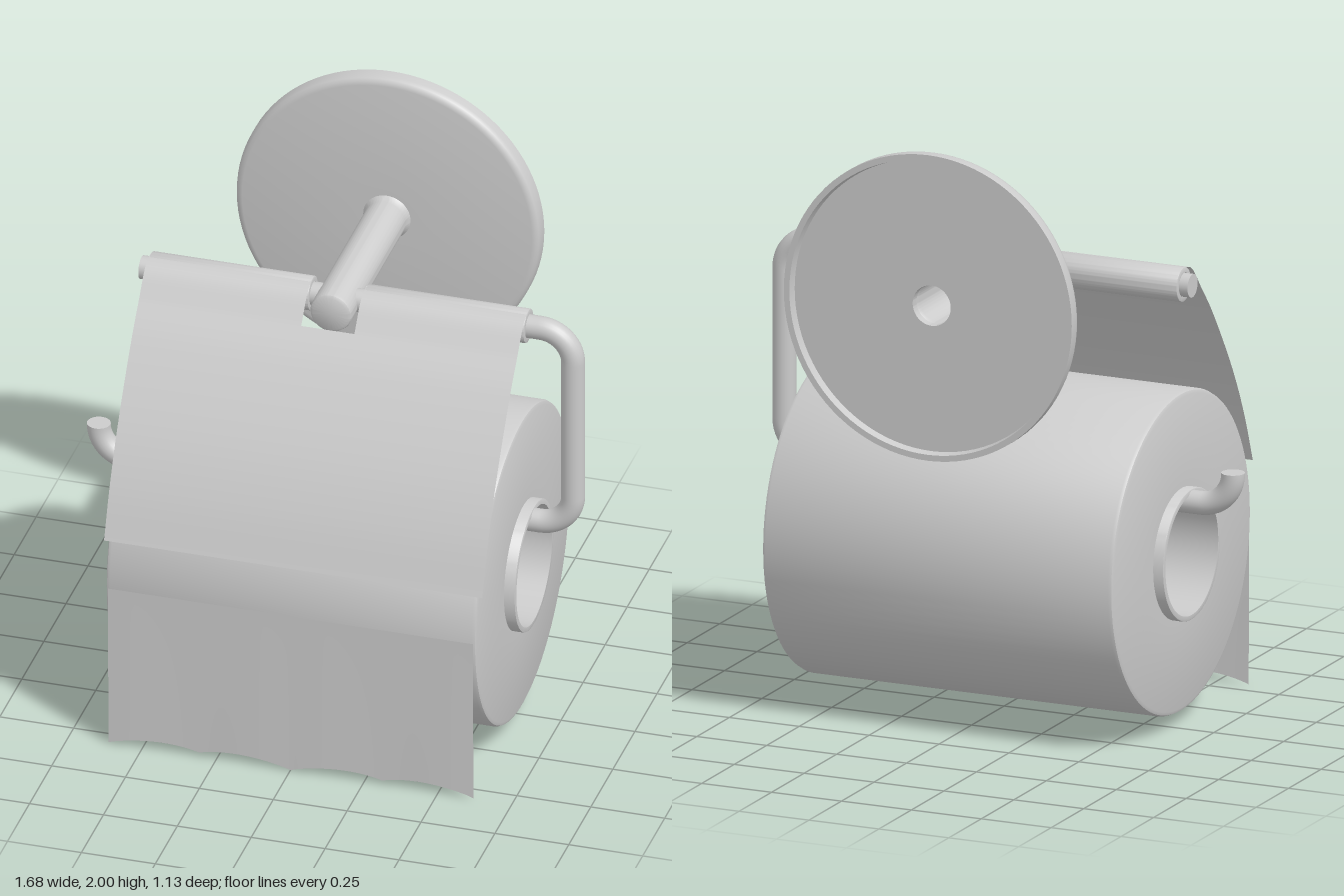
import * as THREE from 'three';
import { toCreasedNormals } from 'three/addons/utils/BufferGeometryUtils.js';

const material = new THREE.MeshStandardMaterial({ color: 0xcccccc });
const thin = new THREE.MeshStandardMaterial({ color: 0xcccccc, side: THREE.DoubleSide });
const V = (x, y, z) => new THREE.Vector3(x, y, z);

export function createModel() {
  const group = new THREE.Group();

  const add = (name, geometry, mat = material) => {
    const mesh = new THREE.Mesh(geometry, mat);
    mesh.name = name;
    group.add(mesh);
    return mesh;
  };

  // Turned part: profile of [radius, distance along the axis]
  const turned = (name, profile, axis, position, mat) => {
    const g = new THREE.LatheGeometry(profile.map(([r, d]) => new THREE.Vector2(r, d)), 96);
    if (axis === 'z') g.rotateX(Math.PI / 2);
    else g.rotateZ(-Math.PI / 2);
    add(name, toCreasedNormals(g, 0.6), mat).position.set(...position);
  };

  // Hollow cylinder along x with softened outer edges
  const ring = (name, inner, outer, x0, x1, y, z, b) => turned(name, [
    [inner, x0], [outer - b, x0], [outer - b * 0.3, x0 + b * 0.3], [outer, x0 + b],
    [outer, x1 - b], [outer - b * 0.3, x1 - b * 0.3], [outer - b, x1], [inner, x1], [inner, x0],
  ], 'x', [0, y, z]);

  // Wall plate: shallow dish with a rounded front edge and a centre hole
  turned('wallPlate', [
    [0.068, -0.535], [0.49, -0.535], [0.495, -0.565], [0.515, -0.565], [0.515, -0.53],
    [0.511, -0.516], [0.503, -0.508], [0.49, -0.505], [0.068, -0.505], [0.068, -0.535],
  ], 'z', [0.01, 1.485, 0]);

  // Hollow arm, closed at the front
  turned('arm', [
    [0.068, -0.535], [0.08, -0.505], [0.073, -0.495], [0.07, -0.48], [0.07, 0.125],
    [0.067, 0.134], [0.058, 0.14], [0, 0.14],
  ], 'z', [0.01, 1.485, 0], thin);

  // Bent wire carrying the cover and the roll
  const zr = 0.03, yt = 1.487, yb = 0.76, xr = 0.8, xl = -0.805, bend = 0.11, wire = 0.039;
  const path = new THREE.CurvePath();
  const line = (a, b) => path.add(new THREE.LineCurve3(a, b));
  const corner = (a, c, b) => {
    const k = 0.55;
    path.add(new THREE.CubicBezierCurve3(a, a.clone().lerp(c, k), b.clone().lerp(c, k), b));
  };
  const start = V(-0.66, yt, zr), end = V(xl, 0.875, zr);
  line(start, V(xr - bend, yt, zr));
  corner(V(xr - bend, yt, zr), V(xr, yt, zr), V(xr, yt - bend, zr));
  line(V(xr, yt - bend, zr), V(xr, yb + bend, zr));
  corner(V(xr, yb + bend, zr), V(xr, yb, zr), V(xr - bend, yb, zr));
  line(V(xr - bend, yb, zr), V(xl + bend, yb, zr));
  corner(V(xl + bend, yb, zr), V(xl, yb, zr), V(xl, yb + bend, zr));
  line(V(xl, yb + bend, zr), end);
  add('wireHolder', new THREE.TubeGeometry(path, 260, wire, 24, false));
  add('wireEndTop', new THREE.CircleGeometry(wire, 24).rotateY(-Math.PI / 2)).position.copy(start);
  add('wireEndHook', new THREE.CircleGeometry(wire, 24).rotateX(-Math.PI / 2)).position.copy(end);

  // Cover sleeves on either side of the arm
  ring('coverSleeveRight', 0.04, 0.057, -0.63, -0.08, yt, zr, 0.004);
  ring('coverSleeveLeft', 0.04, 0.057, 0.1, 0.65, yt, zr, 0.004);

  // Thin sheet: a plane whose vertices are placed by a rule of (u, t)
  const sheet = (name, nu, nt, rule) => {
    const g = new THREE.PlaneGeometry(1, 1, nu, nt);
    const p = g.attributes.position;
    for (let i = 0; i < p.count; i++) p.setXYZ(i, ...rule(p.getX(i) + 0.5, 0.5 - p.getY(i)));
    g.computeVertexNormals();
    add(name, g, thin);
  };

  // Curved cover, notched around the arm
  const curve = new THREE.CatmullRomCurve3([
    V(0, 1.544, 0.03), V(0, 1.53, 0.085), V(0, 1.44, 0.165), V(0, 1.345, 0.244),
    V(0, 1.106, 0.403), V(0, 0.93, 0.493), V(0, 0.761, 0.558),
  ]);
  const cover = (name, x0, x1, t0, t1) => sheet(name, 2, 24, (u, t) => {
    const c = curve.getPoint(t0 + (t1 - t0) * t);
    return [x0 + (x1 - x0) * u, c.y, c.z];
  });
  cover('coverTabRight', -0.63, -0.08, 0, 1 / 3);
  cover('coverTabLeft', 0.1, 0.65, 0, 1 / 3);
  cover('coverFlap', -0.63, 0.65, 1 / 3, 1);

  // Paper roll and its cardboard core
  ring('paperRoll', 0.215, 0.537, -0.624, 0.63, 0.585, 0.025, 0.015);
  ring('cardboardCore', 0.203, 0.22, -0.66, 0.667, 0.583, 0.025, 0.004);

  // Hanging paper end with a torn, wavy edge
  sheet('hangingPaper', 96, 16, (u, t) => {
    const x = -0.615 + 1.235 * u;
    const a = Math.abs(x) / 0.62;
    const bottom = 0.022 * Math.abs(Math.sin(a * Math.PI * 2)) ** 0.7 + 0.012 * Math.sin(a * Math.PI);
    return [x, 0.585 + (bottom - 0.585) * t, 0.563 - 0.006 * t + 0.002 * t * Math.sin(a * 9)];
  });

  return group;
}
